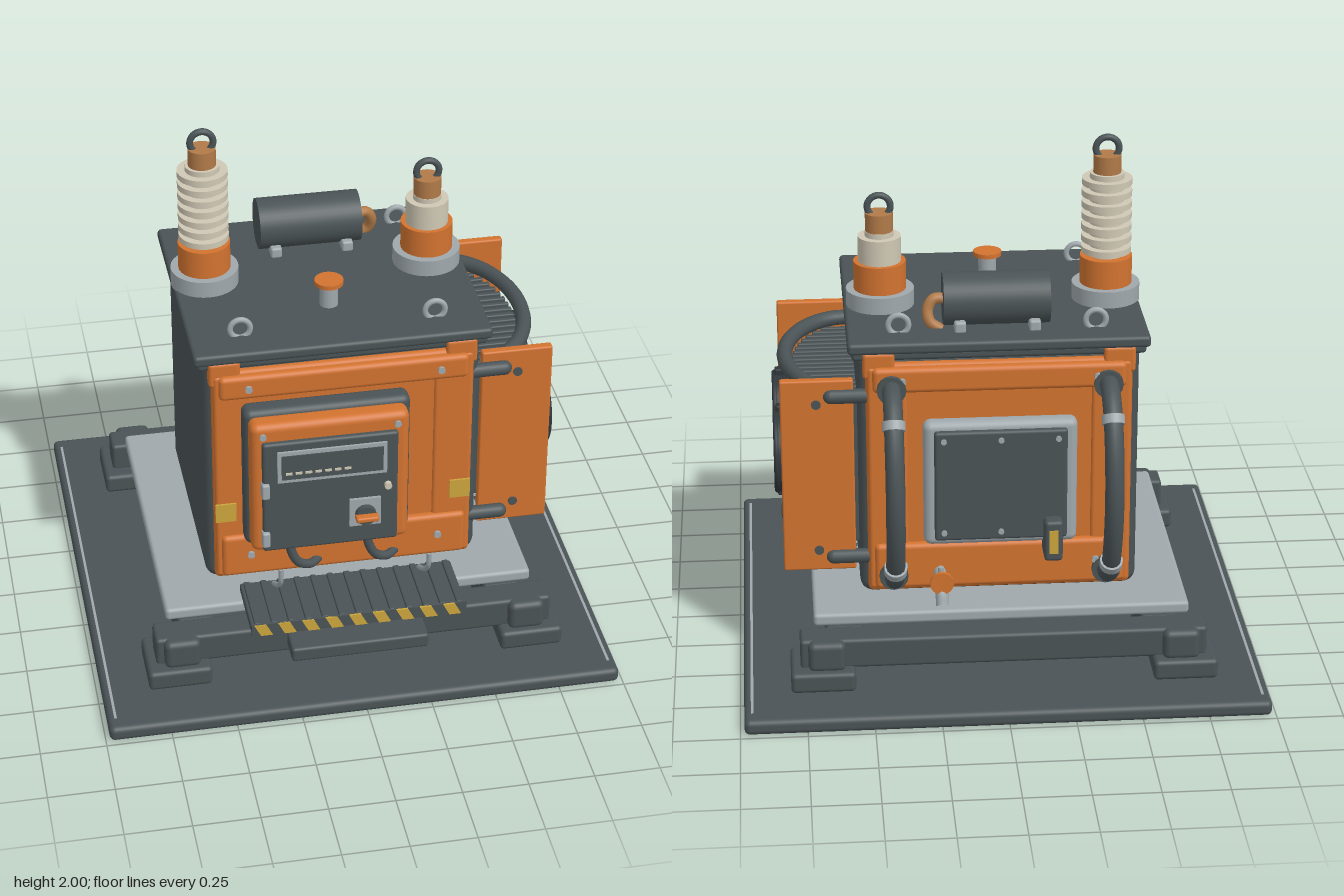
import * as THREE from 'three';
import { RoundedBoxGeometry } from 'three/addons/geometries/RoundedBoxGeometry.js';

const mat = (name, color) => {
  const m = new THREE.MeshStandardMaterial({ color });
  m.name = name;
  return m;
};

export function createModel() {
  const dark = mat('dark steel', 0x4a5356);
  const black = mat('black steel', 0x30373b);
  const orange = mat('orange paint', 0xd27330);
  const grey = mat('light grey steel', 0x9fa8ac);
  const cream = mat('cream ceramic', 0xcfc8b4);
  const copper = mat('copper', 0xb17a48);
  const yellow = mat('warning yellow', 0xcca63c);

  const model = new THREE.Group();
  model.name = 'transformer';
  const group = (name, parent = model) => {
    const g = new THREE.Group();
    g.name = name;
    parent.add(g);
    return g;
  };
  const add = (parent, name, geo, m, x = 0, y = 0, z = 0) => {
    const mesh = new THREE.Mesh(geo, m);
    mesh.name = name;
    mesh.position.set(x, y, z);
    parent.add(mesh);
    return mesh;
  };
  // Box from its limits, with rounded edges when r > 0
  const box = (p, name, m, x0, x1, y0, y1, z0, z1, r = 0) => {
    const w = x1 - x0, h = y1 - y0, d = z1 - z0;
    const geo = r ? new RoundedBoxGeometry(w, h, d, 3, Math.min(r, w * 0.45, h * 0.45, d * 0.45)) : new THREE.BoxGeometry(w, h, d);
    return add(p, name, geo, m, (x0 + x1) / 2, (y0 + y1) / 2, (z0 + z1) / 2);
  };
  // Upright cylinder from y0 to y1
  const cyl = (p, name, m, r, y0, y1, x = 0, z = 0, rTop = r) =>
    add(p, name, new THREE.CylinderGeometry(rTop, r, y1 - y0, 32), m, x, (y0 + y1) / 2, z);
  // Cylinder along z
  const bolt = (p, name, m, r, x, y, z, len = 0.02) => {
    const b = add(p, name, new THREE.CylinderGeometry(r, r, len, 16), m, x, y, z);
    b.rotation.x = Math.PI / 2;
    return b;
  };
  const tube = (p, name, m, r, pts) => add(p, name, new THREE.TubeGeometry(
    new THREE.CatmullRomCurve3(pts.map(a => new THREE.Vector3(...a))), 40, r, 12), m);

  // Ground plate and skid
  const base = group('base');
  box(base, 'groundPlate', dark, -0.985, 0.985, 0, 0.06, -0.985, 0.985, 0.022);
  for (const s of [-1, 1]) {
    box(base, 'edgeLine', grey, s * 0.955 - 0.005, s * 0.955 + 0.005, 0.058, 0.063, -0.92, 0.92);
    box(base, 'skidRail', dark, s * 0.6 - 0.07, s * 0.6 + 0.07, 0.09, 0.25, -0.62, 0.62, 0.015);
    box(base, 'crossBeam', dark, -0.77, 0.77, 0.13, 0.25, s * 0.665 - 0.06, s * 0.665 + 0.06, 0.015);
    for (const t of [-1, 1]) {
      box(base, 'foot', dark, s * 0.685 - 0.122, s * 0.685 + 0.122, 0.06, 0.14, t * 0.665 - 0.122, t * 0.665 + 0.122, 0.018);
      box(base, 'footBlock', dark, s * 0.67 - 0.07, s * 0.67 + 0.07, 0.13, 0.25, t * 0.69 - 0.07, t * 0.69 + 0.07, 0.025);
    }
  }
  box(base, 'deck', grey, -0.715, 0.715, 0.25, 0.3, -0.61, 0.61, 0.015);
  box(base, 'lowerStep', dark, -0.265, 0.265, 0.16, 0.22, 0.7, 0.835, 0.012);

  // Platform with ribs and a striped front edge
  const step = group('platform');
  box(step, 'platformPlate', dark, -0.415, 0.415, 0.29, 0.325, 0.52, 0.805, 0.008);
  for (let i = 0; i < 13; i++) {
    const x = -0.39 + i * 0.065;
    box(step, 'treadRib', dark, x - 0.012, x + 0.012, 0.32, 0.337, 0.53, 0.8, 0.005);
  }
  box(step, 'edgePlate', dark, -0.415, 0.415, 0.288, 0.337, 0.8, 0.81);
  for (let i = 0; i < 9; i++) {
    const x = -0.405 + i * 0.091;
    const s = new THREE.Shape([[0.025, 0], [0.07, 0], [0.045, 0.049], [0, 0.049]].map(a => new THREE.Vector2(...a)));
    add(step, 'warningStripe', new THREE.ExtrudeGeometry(s, { depth: 0.008, bevelEnabled: false }), yellow, x, 0.288, 0.806);
  }
  for (const x of [-0.285, 0.285])
    tube(step, 'gripBar', grey, 0.01, [[x, 0.33, 0.55], [x, 0.36, 0.6], [x, 0.41, 0.67], [x, 0.46, 0.71], [x, 0.52, 0.72]]);

  // Tank and lid
  const tank = group('tank');
  box(tank, 'tankBody', dark, -0.53, 0.53, 0.3, 1.3, -0.45, 0.45, 0.05);
  box(tank, 'lidRim', dark, -0.55, 0.55, 1.27, 1.31, -0.47, 0.47, 0.015);
  box(tank, 'lid', dark, -0.565, 0.565, 1.3, 1.345, -0.487, 0.487, 0.015);

  // Orange frames on front and back
  for (const side of ['front', 'back']) {
    const f = group(side + 'Frame');
    if (side === 'back') f.rotation.y = Math.PI;
    box(f, 'framePlate', orange, -0.5, 0.5, 0.325, 1.26, 0.43, 0.475, 0.02);
    for (const s of [-1, 1]) {
      box(f, 'frameCorner', orange, s * 0.45 - 0.06, s * 0.45 + 0.06, 1.2, 1.305, 0.43, 0.48, 0.015);
      box(f, 'framePost', orange, s * 0.42 - 0.075, s * 0.42 + 0.075, 0.34, 1.25, 0.44, 0.485, 0.015);
    }
    box(f, 'topRail', orange, -0.475, 0.475, 1.15, 1.25, 0.44, 0.503, 0.02);
    box(f, 'bottomRail', orange, -0.475, 0.475, 0.345, 0.53, 0.44, 0.503, 0.02);
    for (const x of [-0.365, 0.365]) for (const y of [0.445, 1.2]) bolt(f, 'frameBolt', grey, 0.014, x, y, 0.505);
  }
  for (const x of [-0.457, 0.452]) box(model, 'warningPlate', yellow, x - 0.04, x + 0.04, 0.6, 0.68, 0.485, 0.493);

  // Control cabinet
  const cab = group('controlCabinet');
  box(cab, 'cabinetBack', dark, -0.395, 0.24, 0.525, 1.13, 0.47, 0.56, 0.03);
  box(cab, 'cabinetHousing', orange, -0.38, 0.222, 0.54, 1.11, 0.54, 0.63, 0.03);
  box(cab, 'cabinetDoor', dark, -0.34, 0.175, 0.555, 1.04, 0.61, 0.65, 0.012);
  box(cab, 'displayFrame', grey, -0.285, 0.13, 0.87, 1.005, 0.645, 0.66);
  box(cab, 'displayScreen', dark, -0.27, 0.115, 0.885, 0.99, 0.656, 0.664);
  for (let i = 0; i < 7; i++) box(cab, 'displayMark', cream, -0.255 + i * 0.037, -0.23 + i * 0.037, 0.907, 0.917, 0.66, 0.667);
  box(cab, 'switchPlate', grey, -0.012, 0.108, 0.64, 0.76, 0.645, 0.662);
  bolt(cab, 'switchDial', dark, 0.04, 0.048, 0.695, 0.67, 0.03);
  box(cab, 'switchHandle', orange, 0.005, 0.092, 0.685, 0.707, 0.67, 0.715, 0.008);
  bolt(cab, 'lock', cream, 0.014, 0.135, 0.81, 0.655, 0.025);
  for (const y of [0.615, 0.835]) box(cab, 'hinge', grey, -0.345, -0.315, y - 0.033, y + 0.033, 0.62, 0.665, 0.008);
  for (const x of [-0.335, 0.175]) bolt(cab, 'housingBolt', grey, 0.013, x, 1.065, 0.632, 0.016);
  for (const x of [-0.22, 0.08])
    tube(cab, 'cable', dark, 0.018, [[x, 0.56, 0.55], [x, 0.49, 0.555], [x + 0.03, 0.42, 0.55], [x + 0.08, 0.39, 0.53], [x + 0.12, 0.385, 0.49]]);

  // Bushings with lifting rings on top
  const bushing = (name, x, yCap, yTop, ribs) => {
    const b = group(name);
    b.position.set(x, 0, -0.06);
    cyl(b, 'flange', grey, 0.13, 1.34, 1.41);
    cyl(b, 'collar', orange, 0.1, 1.41, 1.52);
    if (ribs) {
      cyl(b, 'insulatorCore', cream, 0.066, 1.52, yCap);
      for (let i = 0; i < ribs; i++) cyl(b, 'insulatorShed', cream, 0.096, 1.535 + i * 0.045, 1.559 + i * 0.045);
    } else {
      cyl(b, 'insulator', cream, 0.082, 1.52, 1.62);
      cyl(b, 'insulatorNeck', cream, 0.055, 1.62, yCap);
    }
    cyl(b, 'terminal', copper, 0.053, yCap, yTop);
    add(b, 'terminalRing', new THREE.TorusGeometry(0.044, 0.013, 12, 32), dark, 0, yTop + 0.023, 0);
  };
  bushing('tallBushing', -0.44, 1.85, 1.92, 7);
  bushing('shortBushing', 0.425, 1.64, 1.712, 0);

  // Lifting eyes, valve and oil vessel on the lid
  for (const x of [-0.37, 0.37]) for (const z of [-0.365, 0.355])
    add(model, 'liftingEye', new THREE.TorusGeometry(0.038, 0.011, 10, 28), grey, x, 1.373, z);
  cyl(model, 'reliefStem', grey, 0.035, 1.34, 1.435, -0.005, 0.195);
  cyl(model, 'reliefCap', orange, 0.055, 1.435, 1.452, -0.005, 0.195);
  const vessel = group('oilVessel');
  add(vessel, 'vesselBody', new THREE.CylinderGeometry(0.1, 0.1, 0.4, 40), dark, 0, 1.442, -0.285).rotation.z = Math.PI / 2;
  for (const x of [-0.14, 0.14]) box(vessel, 'vesselSaddle', grey, x - 0.022, x + 0.022, 1.34, 1.385, -0.395, -0.175, 0.01);
  tube(vessel, 'vesselPipe', copper, 0.021, [[0.19, 1.445, -0.285], [0.235, 1.445, -0.295], [0.257, 1.41, -0.305], [0.25, 1.365, -0.32], [0.21, 1.335, -0.325]]);

  // Radiator: end plates, curved header pipes and fins that follow the curve
  const rad = group('radiator');
  const zc = -0.02;
  const arc = t => 0.54 + 0.255 * Math.sqrt(Math.max(0, 1 - t * t));
  for (const z of [0.39, -0.43]) box(rad, 'endPlate', orange, 0.545, 0.82, 0.41, 1.19, z - 0.018, z + 0.018, 0.008);
  for (const y of [0.465, 1.125]) {
    const pts = [];
    for (let i = 0; i <= 16; i++) {
      const a = (i / 16 - 0.5) * Math.PI;
      pts.push([0.54 + 0.255 * Math.cos(a), y, zc + 0.385 * Math.sin(a)]);
    }
    tube(rad, 'headerPipe', dark, 0.03, pts);
    for (const z of [0.42, -0.445]) {
      const stub = add(rad, 'stubPipe', new THREE.CapsuleGeometry(0.028, 0.13, 6, 16), dark, 0.565, y, z);
      stub.rotation.z = Math.PI / 2;
    }
    for (const z of [0.39, -0.43]) bolt(rad, 'endPlateBolt', dark, 0.018, 0.685, y - Math.sign(y - 0.8) * 0.03, z, 0.05);
  }
  for (let i = 0; i < 18; i++) {
    const z = zc + (i - 8.5) * 0.04;
    box(rad, 'fin', dark, 0.52, arc((z - zc) / 0.4) - 0.025, 0.49, 1.1, z - 0.011, z + 0.011, 0.006);
  }

  // Cooling fans on the radiator
  for (const z of [0.188, -0.18]) {
    const fan = group('fan', rad);
    fan.position.set(0.82, 0.8, z);
    fan.rotation.y = Math.PI / 2;
    for (const d of [-0.022, 0.016]) add(fan, 'guardRing', new THREE.TorusGeometry(0.155, 0.012, 10, 48), black, 0, 0, d);
    add(fan, 'shroud', new THREE.CylinderGeometry(0.163, 0.163, 0.045, 48, 1, true), black, 0, 0, 0).rotation.x = Math.PI / 2;
    for (const a of [0, Math.PI / 2]) add(fan, 'guardBar', new THREE.BoxGeometry(0.31, 0.012, 0.01), black, 0, 0, -0.018).rotation.z = a;
    add(fan, 'guardInnerRing', new THREE.TorusGeometry(0.085, 0.006, 8, 36), black, 0, 0, -0.018);
    bolt(fan, 'hub', grey, 0.034, 0, 0, 0.005, 0.045);
    for (let i = 0; i < 5; i++) {
      const arm = group('bladeArm', fan);
      arm.rotation.z = i * Math.PI * 0.4 + 0.2;
      const blade = add(arm, 'blade', new THREE.BoxGeometry(0.085, 0.04, 0.008), orange, 0.08, 0, 0.005);
      blade.rotation.x = 0.45;
    }
    for (const s of [-1, 1]) box(fan, 'fanBracket', black, -0.02, 0.02, s * 0.172 - 0.015, s * 0.172 + 0.015, -0.07, 0.015, 0.006);
  }

  // Rear hatch
  const hatch = group('rearHatch');
  box(hatch, 'hatchFrame', grey, -0.29, 0.29, 0.535, 1.04, -0.535, -0.46, 0.03);
  box(hatch, 'hatchCover', dark, -0.25, 0.25, 0.565, 1.01, -0.556, -0.52, 0.012);
  for (const x of [-0.215, 0, 0.215]) for (const y of [0.6, 0.975]) bolt(hatch, 'hatchBolt', grey, 0.011, x, y, -0.557, 0.014);
  box(hatch, 'gaugeBox', dark, -0.23, -0.16, 0.49, 0.655, -0.61, -0.48, 0.015);
  box(hatch, 'gaugeLabel', yellow, -0.212, -0.178, 0.525, 0.62, -0.614, -0.608);

  // Rear oil pipes with clamps
  for (const x of [-0.405, 0.405]) {
    tube(model, 'oilPipe', dark, 0.036, [[x, 1.17, -0.46], [x, 1.168, -0.56], [x, 1.11, -0.65], [x, 0.98, -0.72],
      [x, 0.8, -0.75], [x, 0.62, -0.72], [x, 0.48, -0.65], [x, 0.415, -0.56], [x, 0.405, -0.46]]);
    for (const y of [0.405, 1.17]) bolt(model, 'pipeFlange', dark, 0.055, x, y, -0.507, 0.025);
    for (const y of [0.51, 1.09]) {
      const s = Math.sign(y - 0.8);
      const clamp = add(model, 'pipeClamp', new THREE.CylinderGeometry(0.043, 0.043, 0.035, 24), grey, x, y, y > 0.8 ? -0.663 : -0.671);
      clamp.rotation.x = s * 0.6;
      box(model, 'clampArm', grey, x - 0.015, x + 0.015, y - 0.014, y + 0.014, -0.66, -0.585, 0.005);
    }
  }

  // Drain valve
  const drain = group('drainValve');
  tube(drain, 'drainSpout', grey, 0.024, [[0.23, 0.41, -0.48], [0.23, 0.41, -0.57], [0.23, 0.39, -0.62], [0.23, 0.34, -0.645]]);
  cyl(drain, 'drainStem', grey, 0.012, 0.4, 0.47, 0.23, -0.58);
  bolt(drain, 'drainWheel', orange, 0.045, 0.23, 0.43, -0.637, 0.014);

  return model;
}
